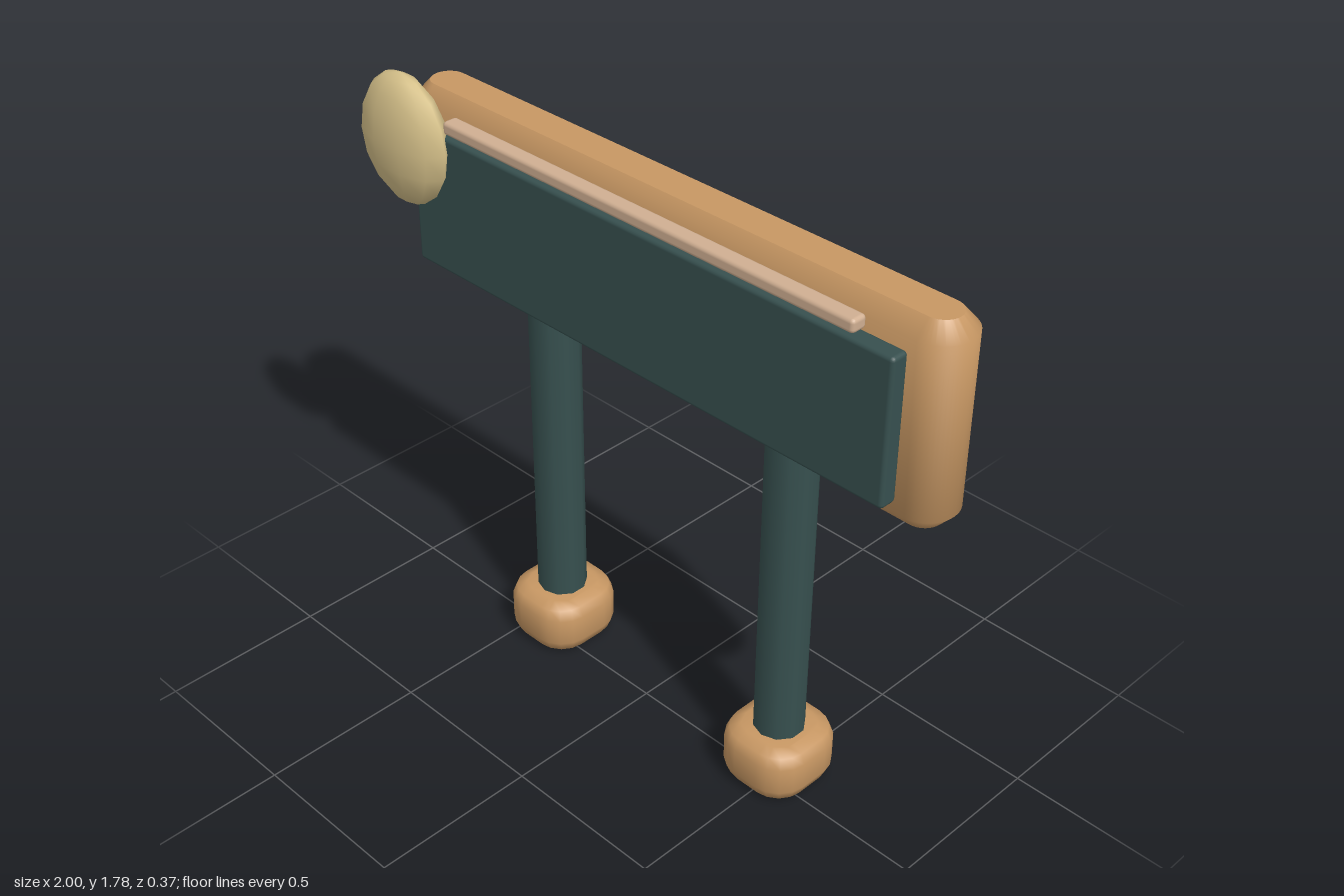
import * as THREE from 'three';
import { toCreasedNormals } from 'three/addons/utils/BufferGeometryUtils.js';
import { RoundedBoxGeometry } from 'three/addons/geometries/RoundedBoxGeometry.js';

const material = (name, color) => {
  const m = new THREE.MeshStandardMaterial({ color });
  m.name = name;
  return m;
};

// Rounded plan outline extruded upwards, with bevelled top and bottom; centred on the origin
function roundedSlab(w, h, d, radius, bevelSize, bevelHeight, segments, curve, crease) {
  const x = w / 2 - bevelSize, y = d / 2 - bevelSize, r = radius - bevelSize;
  const s = new THREE.Shape();
  s.absarc(x - r, y - r, r, 0, Math.PI / 2);
  s.absarc(-x + r, y - r, r, Math.PI / 2, Math.PI);
  s.absarc(-x + r, -y + r, r, Math.PI, Math.PI * 1.5);
  s.absarc(x - r, -y + r, r, Math.PI * 1.5, Math.PI * 2);
  const g = new THREE.ExtrudeGeometry(s, {
    depth: h - 2 * bevelHeight, bevelEnabled: true, bevelSize,
    bevelThickness: bevelHeight, bevelSegments: segments, curveSegments: curve,
  });
  g.rotateX(-Math.PI / 2);
  g.center();
  return toCreasedNormals(g, crease);
}

export function createModel() {
  const model = new THREE.Group();
  model.name = 'signboard';
  const wood = material('wood', 0xc79763);
  const green = material('darkGreen', 0x37504f);
  const cream = material('cream', 0xd6c18a);
  const pale = material('paleWood', 0xd0af92);

  const add = (name, geometry, mat, x, y, z) => {
    const mesh = new THREE.Mesh(geometry, mat);
    mesh.name = name;
    mesh.position.set(x, y, z);
    model.add(mesh);
    return mesh;
  };

  // Board with rounded ends
  add('board', roundedSlab(1.915, 0.585, 0.183, 0.0914, 0.04, 0.045, 1, 6, 0.79),
    wood, 0.04, 1.4175, -0.0475);

  // Front panel and the strip above it
  add('panel', new RoundedBoxGeometry(1.71, 0.425, 0.055, 2, 0.012), green, 0.035, 1.4175, 0.0715);
  add('strip', new RoundedBoxGeometry(1.455, 0.04, 0.05, 2, 0.012), pale, 0.0375, 1.655, 0.07);

  // Flattened round ornament on the corner
  const disc = new THREE.SphereGeometry(1, 10, 8);
  add('ornament', disc, cream, -0.828, 1.585, 0.115).scale.set(0.172, 0.195, 0.074);

  // Two posts, each on a chunky foot
  const postGeometry = new THREE.CylinderGeometry(0.075, 0.075, 1.15, 10);
  const footGeometry = roundedSlab(0.272, 0.175, 0.28, 0.1, 0.045, 0.045, 2, 2, 1.1);
  for (const [side, x] of [['right', -0.414], ['left', 0.486]]) {
    add(side + 'Post', postGeometry, green, x, 0.7, -0.046);
    add(side + 'Foot', footGeometry, wood, x, 0.0875, -0.047);
  }
  return model;
}
